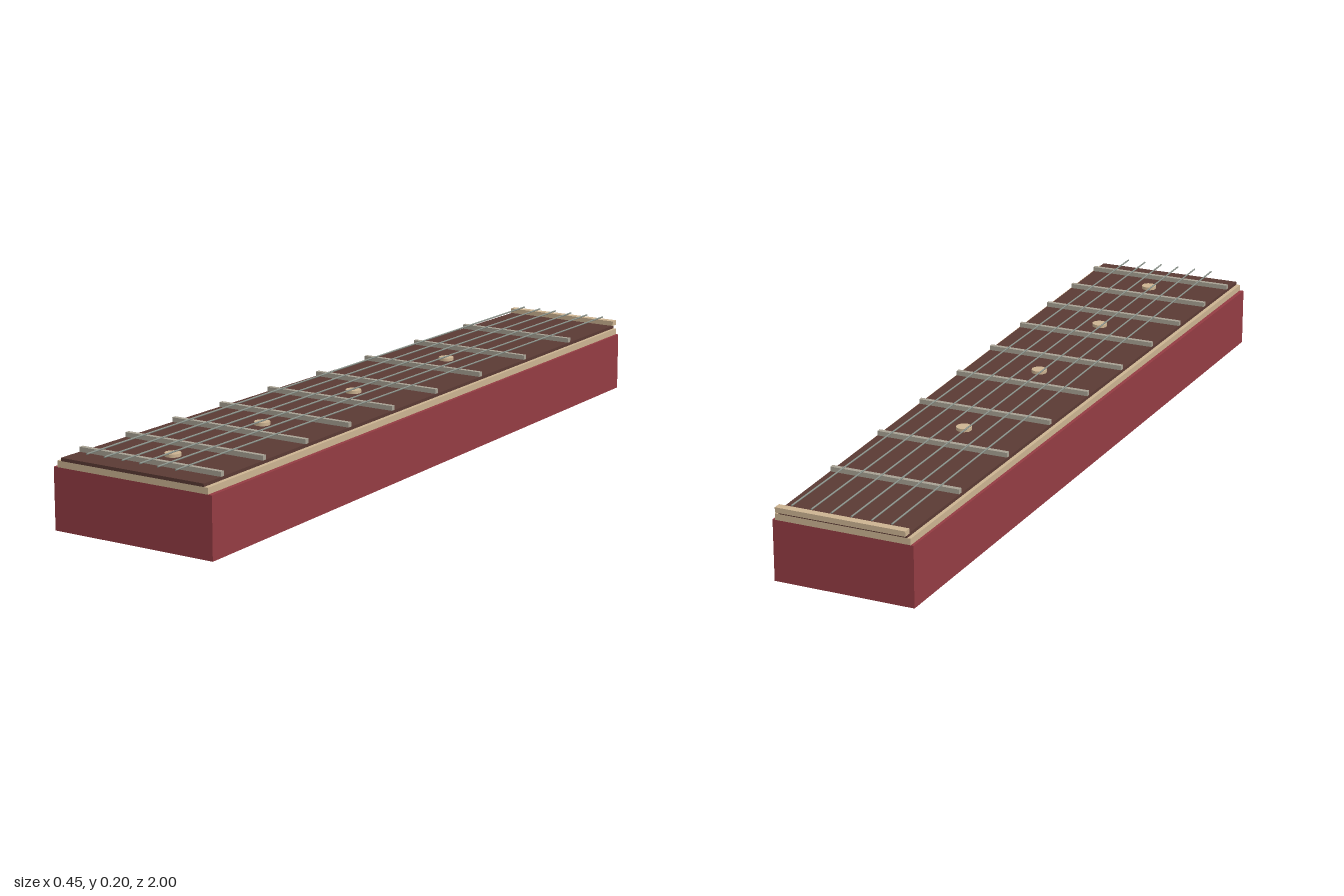
import * as THREE from 'three';

const mat = (name, color) => {
  const m = new THREE.MeshStandardMaterial({ color });
  m.name = name;
  return m;
};

const BACK = -0.988, FRONT = 1, NUT_Z = -0.99, SCALE = 4.73;

export function createModel() {
  const group = new THREE.Group();
  const red = mat('red wood', 0x943c43);
  const rosewood = mat('dark rosewood', 0x5b3a34);
  const ivory = mat('ivory', 0xcdb492);
  const metal = mat('fret metal', 0xa8a294);
  const steel = mat('string steel', 0x8c948c);

  const add = (name, geometry, material, x = 0, y = 0, z = 0) => {
    const mesh = new THREE.Mesh(geometry, material);
    mesh.name = name;
    mesh.position.set(x, y, z);
    group.add(mesh);
    return mesh;
  };

  // Tapered slab: narrow at the nut, wide at the front
  const slab = (name, backHalf, frontHalf, y0, y1, material) => {
    const shape = new THREE.Shape([
      new THREE.Vector2(-frontHalf, -FRONT), new THREE.Vector2(frontHalf, -FRONT),
      new THREE.Vector2(backHalf, -BACK), new THREE.Vector2(-backHalf, -BACK),
    ]);
    const g = new THREE.ExtrudeGeometry(shape, { depth: y1 - y0, bevelEnabled: false });
    g.rotateX(-Math.PI / 2);
    add(name, g, material, 0, y0, 0);
  };
  slab('neck', 0.18, 0.227, 0, 0.154, red);
  slab('binding', 0.173, 0.216, 0.154, 0.17, ivory);
  slab('fingerboard', 0.164, 0.205, 0.17, 0.178, rosewood);

  // Nut at the narrow end
  add('nut', new THREE.BoxGeometry(0.332, 0.013, 0.02), ivory, 0, 0.1845, NUT_Z);

  // Frets spaced by the twelfth-root rule
  const fretZ = (n) => NUT_Z + SCALE * (1 - Math.pow(2, -n / 12));
  for (let n = 1; n <= 9; n++) {
    const z = fretZ(n);
    const half = 0.1685 + 0.035 * (z + 0.727) / 1.655;
    add('fret' + n, new THREE.BoxGeometry(half * 2, 0.012, 0.012), metal, 0, 0.184, z);
  }

  // Inlay dots midway between frets
  for (const n of [3, 5, 7, 9]) {
    add('inlayDot' + n, new THREE.CylinderGeometry(0.02, 0.02, 0.008, 12), ivory,
      0, 0.182, (fretZ(n - 1) + fretZ(n)) / 2);
  }

  // Six parallel strings
  for (let i = 0; i < 6; i++) {
    const g = new THREE.CylinderGeometry(0.0022, 0.0022, 1.99, 6);
    g.rotateX(Math.PI / 2);
    add('string' + (i + 1), g, steel, (i - 2.5) * 0.051, 0.198, 0.005);
  }
  return group;
}
